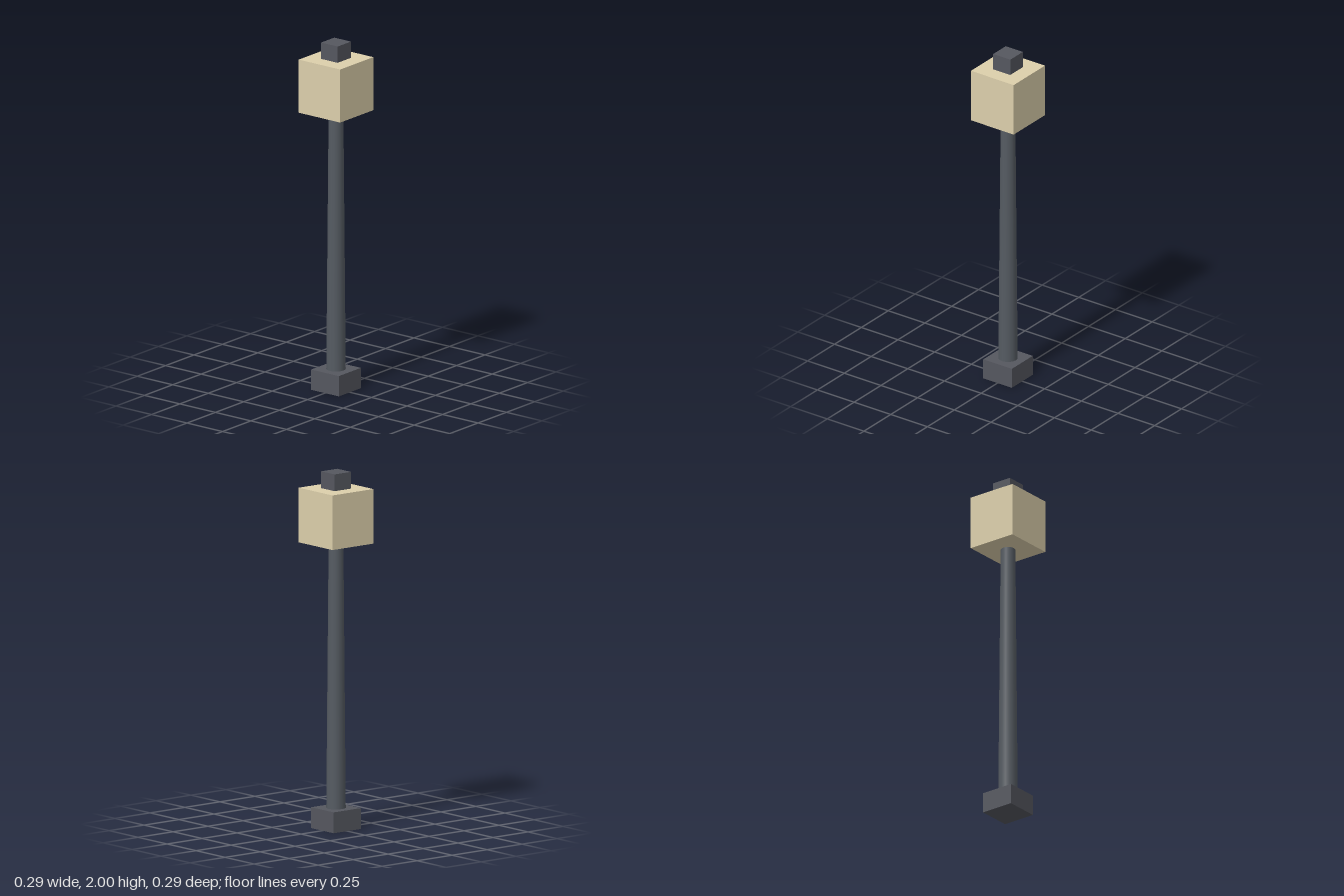
import * as THREE from 'three';

export function createModel() {
  const model = new THREE.Group();
  model.name = 'lampPost';
  const metal = new THREE.MeshStandardMaterial({ color: 0x55575f });
  const poleMetal = new THREE.MeshStandardMaterial({ color: 0x555b62 });
  const glow = new THREE.MeshStandardMaterial({ color: 0xdccfab });

  const add = (name, geometry, material, bottom, top) => {
    const mesh = new THREE.Mesh(geometry, material);
    mesh.name = name;
    mesh.position.y = (bottom + top) / 2;
    model.add(mesh);
  };
  // Square block spanning two heights
  const block = (name, width, bottom, top, material) =>
    add(name, new THREE.BoxGeometry(width, top - bottom, width), material, bottom, top);

  block('base', 0.195, 0, 0.117, metal);
  // Slightly tapered round pole
  add('pole', new THREE.CylinderGeometry(0.041, 0.054, 1.483, 16), poleMetal, 0.117, 1.6);
  block('lantern', 0.292, 1.6, 1.906, glow);
  block('cap', 0.117, 1.906, 2, metal);

  return model;
}
